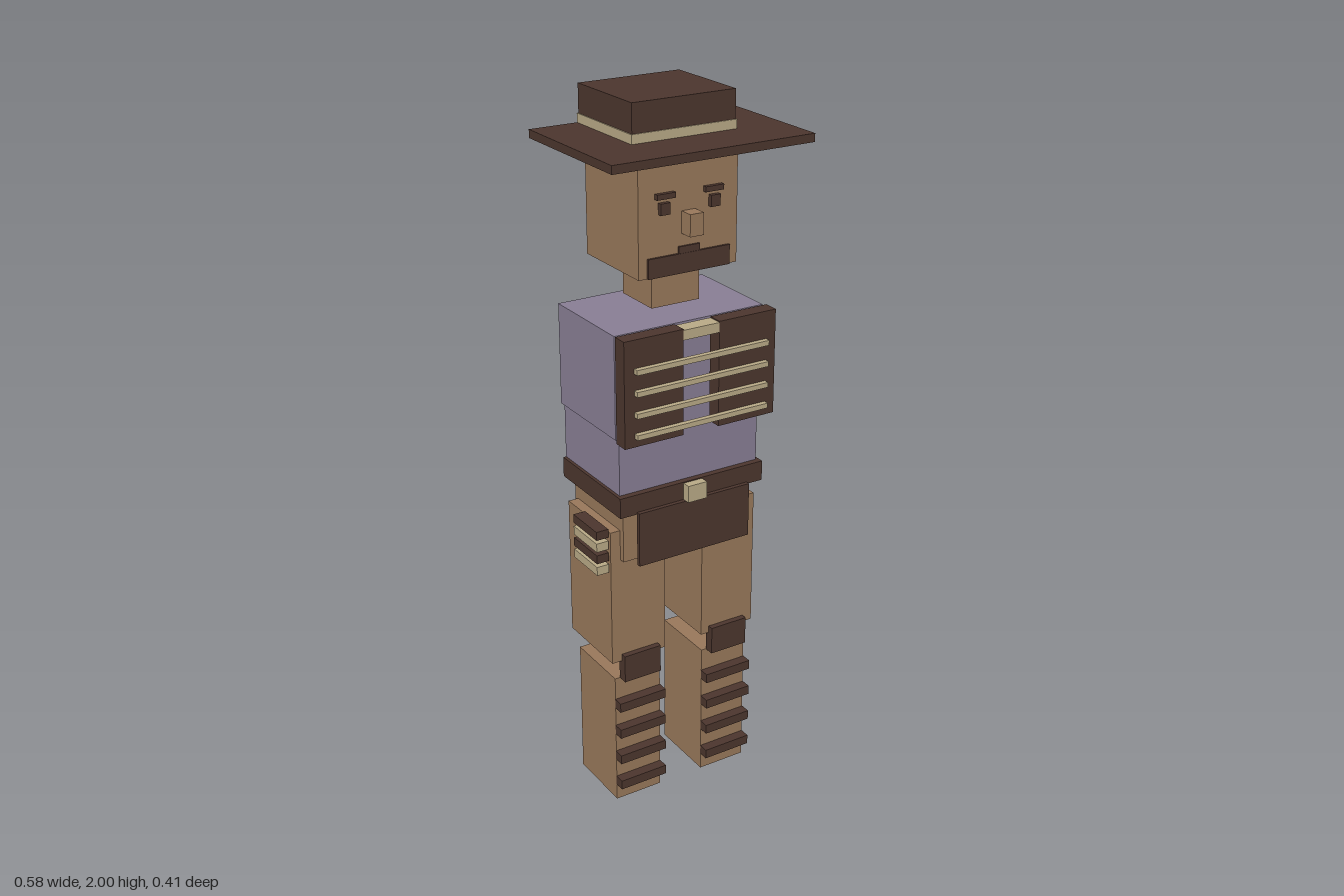
import * as THREE from 'three';

export function createModel() {
  const root = new THREE.Group();
  root.name = 'blockyCowboy';

  const material = (name, color) => {
    const m = new THREE.MeshStandardMaterial({ color });
    m.name = name;
    return m;
  };
  const skin = material('tan skin', 0x97775a);
  const leather = material('dark leather', 0x4b352d);
  const shirt = material('mauve shirt', 0x877d93);
  const brass = material('pale brass', 0xb7a885);

  const group = (name) => {
    const g = new THREE.Group();
    g.name = name;
    root.add(g);
    return g;
  };
  // Box given by its low and high limits on each axis
  const block = (parent, name, mat, [x0, x1], [y0, y1], [z0, z1]) => {
    const mesh = new THREE.Mesh(new THREE.BoxGeometry(x1 - x0, y1 - y0, z1 - z0), mat);
    mesh.position.set((x0 + x1) / 2, (y0 + y1) / 2, (z0 + z1) / 2);
    mesh.name = name;
    parent.add(mesh);
  };
  // Block on both sides, mirrored in x
  const pair = (parent, name, mat, [x0, x1], y, z) => {
    block(parent, name + 'Left', mat, [x0, x1], y, z);
    block(parent, name + 'Right', mat, [-x1, -x0], y, z);
  };

  // Hat
  const hat = group('hat');
  block(hat, 'brim', leather, [-0.29, 0.29], [1.878, 1.9], [-0.205, 0.205]);
  block(hat, 'hatBand', brass, [-0.153, 0.153], [1.9, 1.924], [-0.205, 0.064]);
  block(hat, 'crown', leather, [-0.15, 0.15], [1.924, 2], [-0.202, 0.061]);

  // Head and face
  const head = group('head');
  block(head, 'skull', skin, [-0.146, 0.146], [1.56, 1.847], [-0.18, 0.08]);
  block(head, 'neck', skin, [-0.072, 0.072], [1.455, 1.56], [-0.124, 0.02]);
  block(head, 'nose', skin, [-0.02, 0.02], [1.662, 1.72], [0.08, 0.12]);
  pair(head, 'eye', leather, [0.06, 0.088], [1.72, 1.75], [0.08, 0.092]);
  pair(head, 'brow', leather, [0.044, 0.098], [1.76, 1.774], [0.08, 0.092]);
  block(head, 'mouth', leather, [-0.031, 0.031], [1.612, 1.63], [0.08, 0.086]);
  block(head, 'moustache', leather, [-0.121, 0.121], [1.56, 1.612], [0.08, 0.087]);

  // Torso and vest
  const torso = group('torso');
  block(torso, 'chest', shirt, [-0.225, 0.225], [1.148, 1.432], [-0.2, 0.09]);
  block(torso, 'waist', shirt, [-0.215, 0.215], [0.985, 1.148], [-0.2, 0.09]);
  pair(torso, 'vestPanel', leather, [0.054, 0.229], [1.144, 1.435], [0.102, 0.145]);
  block(torso, 'vestClasp', brass, [-0.054, 0.054], [1.405, 1.432], [0.102, 0.145]);
  for (let i = 0; i < 4; i++) {
    const y = 1.175 + i * 0.059;
    block(torso, 'vestBar', brass, [-0.2, 0.2], [y - 0.007, y + 0.007], [0.145, 0.16]);
  }

  // Belt and hips
  const hips = group('hips');
  block(hips, 'belt', leather, [-0.224, 0.224], [0.93, 0.987], [-0.2, 0.108]);
  block(hips, 'buckle', brass, [-0.029, 0.029], [0.936, 0.984], [0.108, 0.132]);
  block(hips, 'pelvis', skin, [-0.2, 0.2], [0.782, 0.93], [-0.18, 0.08]);
  block(hips, 'frontFlap', leather, [-0.174, 0.174], [0.78, 0.936], [0.108, 0.12]);
  block(hips, 'backStrap', leather, [-0.07, 0.07], [0.898, 0.925], [-0.192, -0.18]);
  pair(hips, 'backTab', leather, [0.026, 0.054], [0.843, 0.898], [-0.192, -0.18]);

  // Stacked pouch bands on the right hip
  for (let i = 0; i < 4; i++) {
    const y = 0.752 + i * 0.035;
    block(hips, 'pouchBand', i % 2 ? leather : brass, [-0.27, -0.234], [y, y + 0.025], [-0.065, 0.06]);
  }

  // Metal loop on the left hip
  const loop = group('hipLoop');
  block(loop, 'loopBase', brass, [0.228, 0.242], [0.843, 0.857], [-0.095, -0.008]);
  for (const z of [-0.095, -0.022]) {
    block(loop, 'loopPost', brass, [0.228, 0.242], [0.857, 0.925], [z, z + 0.014]);
  }

  // Legs
  const legs = group('legs');
  pair(legs, 'thigh', skin, [0.06, 0.23], [0.466, 0.87], [-0.165, 0.063]);
  pair(legs, 'shin', skin, [0.07, 0.215], [0, 0.405], [-0.15, 0.05]);
  pair(legs, 'kneePad', leather, [0.085, 0.2], [0.405, 0.487], [0.05, 0.08]);
  for (let i = 0; i < 4; i++) {
    const y = 0.065 + i * 0.0865;
    pair(legs, 'shinStrap', leather, [0.069, 0.216], [y - 0.014, y + 0.014], [0.05, 0.08]);
  }

  return root;
}
